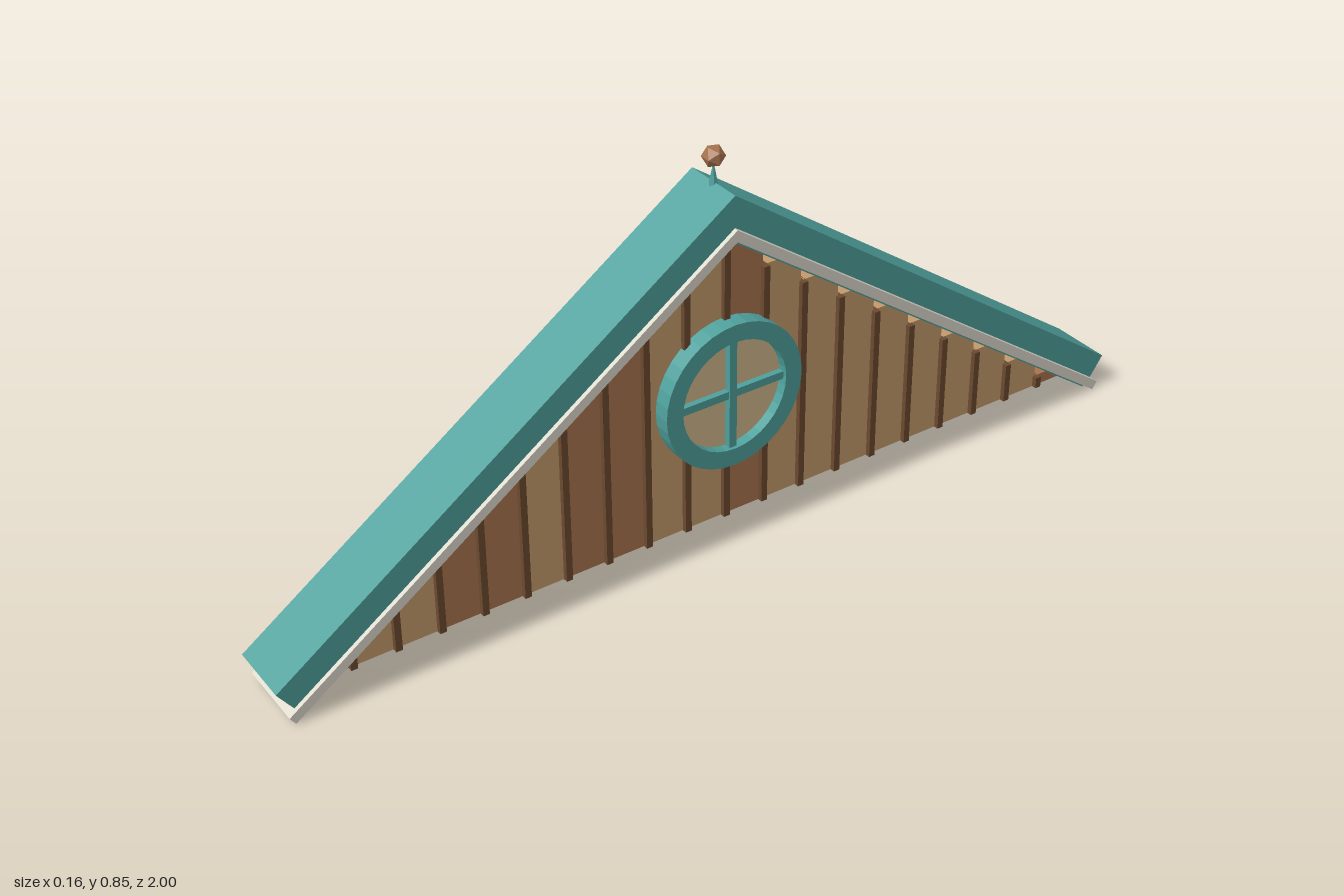
import * as THREE from 'three';

const mat = (name, color) => {
  const m = new THREE.MeshStandardMaterial({ color });
  m.name = name;
  return m;
};

export function createModel() {
  const teal = mat('teal paint', 0x4fa09c);
  const cream = mat('off-white trim', 0xdcd8cc);
  const tan = mat('light timber', 0xc49a6c);
  const brown = mat('red-brown timber', 0xa8744f);
  const dark = mat('dark batten', 0x6b4a2f);
  const pane = mat('pale pane', 0xd0b88c);

  const root = new THREE.Group();
  root.name = 'gable';

  const add = (name, geometry, material, x = 0, y = 0, z = 0, parent = root) => {
    const mesh = new THREE.Mesh(geometry, material);
    mesh.name = name;
    mesh.position.set(x, y, z);
    parent.add(mesh);
    return mesh;
  };

  // Extrude a z-y outline along x, centred on x = 0
  const extrudeX = (shape, width, curveSegments = 4) =>
    new THREE.ExtrudeGeometry(shape, { depth: width, bevelEnabled: false, curveSegments })
      .translate(0, 0, -width / 2)
      .rotateY(-Math.PI / 2);

  // Mitred pair of sloping boards with square-cut ends
  const SLOPE = 0.7;
  const angle = Math.atan(SLOPE);
  const chevron = (apex, thick, endZ, width) => {
    const yEnd = apex - SLOPE * endZ;
    const inZ = endZ - thick * Math.sin(angle);
    const inY = yEnd - thick * Math.cos(angle);
    const points = [[0, apex], [-endZ, yEnd], [-inZ, inY],
      [0, apex - thick / Math.cos(angle)], [inZ, inY], [endZ, yEnd]];
    return extrudeX(new THREE.Shape(points.map(p => new THREE.Vector2(...p))), width);
  };

  // Roof layers
  add('roofBoards', chevron(0.775, 0.055, 1, 0.14), teal);
  add('roofTrim', chevron(0.706, 0.0205, 0.983, 0.156), cream);
  add('soffit', chevron(0.681, 0.004, 0.95, 0.14), teal);

  // Stepped vertical planks
  const PITCH = 0.0927, BASE = 0.04, COUNT = 20;
  const topOf = k => 0.65 - 0.065 * k;
  const brownPlanks = [0, 3, 4, 6, 7, 10, 19];
  const wall = new THREE.Group();
  wall.name = 'plankWall';
  root.add(wall);
  for (let i = 0; i < COUNT; i++) {
    const z = (COUNT / 2 - 0.5 - i) * PITCH;
    const h = topOf(Math.floor(Math.abs(z) / PITCH)) - BASE;
    add('plank', new THREE.BoxGeometry(0.072, h, PITCH - 0.006),
      brownPlanks.includes(i) ? brown : tan, 0, BASE + h / 2, z, wall);
  }

  // Battens covering the joints, proud of the planks on both faces
  for (let j = -9; j <= 9; j++) {
    const h = topOf(Math.abs(j)) - BASE;
    add('batten', new THREE.BoxGeometry(0.094, h, 0.014), dark, 0, BASE + h / 2, j * PITCH, wall);
  }

  // Round window, the same on both faces
  const rim = new THREE.Shape().absarc(0, 0, 0.16, 0, Math.PI * 2, false);
  rim.holes.push(new THREE.Path().absarc(0, 0, 0.122, 0, Math.PI * 2, true));
  const win = new THREE.Group();
  win.name = 'roundWindow';
  win.position.y = 0.34;
  root.add(win);
  add('windowRim', extrudeX(rim, 0.148, 18), teal, 0, 0, 0, win);
  add('windowPane', new THREE.CylinderGeometry(0.125, 0.125, 0.104, 18).rotateZ(Math.PI / 2),
    pane, 0, 0, 0, win);
  add('verticalBar', new THREE.BoxGeometry(0.134, 0.246, 0.017), teal, 0, 0, 0, win);
  add('horizontalBar', new THREE.BoxGeometry(0.13, 0.017, 0.246), teal, 0, 0, 0, win);

  // Finial on the ridge
  teal.flatShading = false;
  add('finialSpike', new THREE.ConeGeometry(0.013, 0.062, 6).toNonIndexed(), teal, 0, 0.786, 0)
    .geometry.computeVertexNormals();
  add('finialBall', new THREE.IcosahedronGeometry(0.0235, 0).rotateY(Math.PI / 2), brown, 0, 0.828, 0);

  return root;
}
